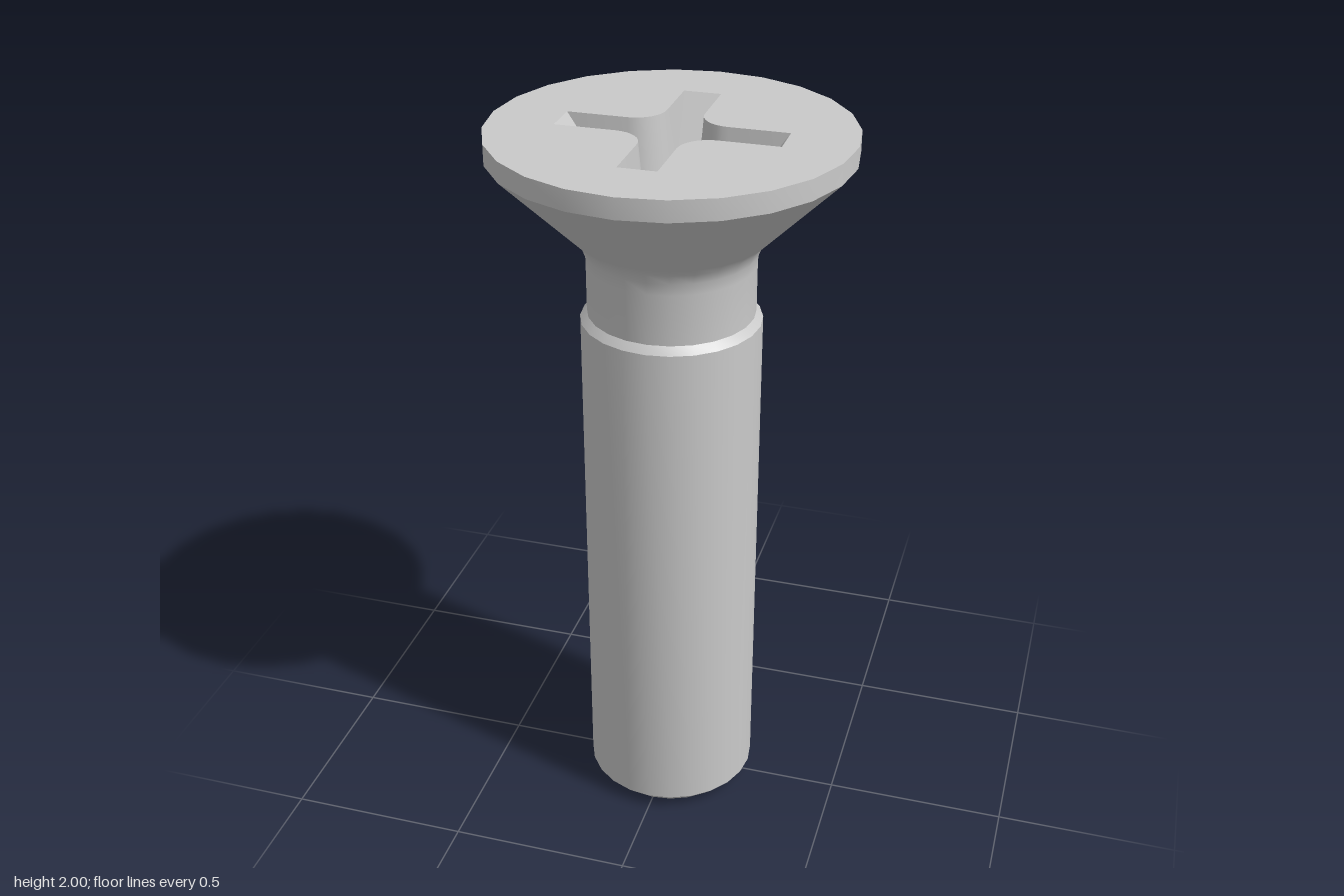
import * as THREE from 'three';
import { mergeGeometries, toCreasedNormals } from 'three/addons/utils/BufferGeometryUtils.js';

const SIDES = 24, HEAD_R = 0.47, TOP = 2, DEPTH = 0.34;
const ARM = 0.29, HALF = 0.05, FILLET = 0.08, DRAFT = 0.03, C = HALF + FILLET;

// Crease at a large scale so that fine detail is not merged
function creased(geometry, angle) {
  geometry.scale(100, 100, 100);
  const g = toCreasedNormals(geometry, angle);
  g.scale(0.01, 0.01, 0.01);
  return g;
}

// One half of an arm wall: rim points and the floor points below them
function wallPoints() {
  const rim = [[ARM, TOP, HALF]], foot = [[ARM, TOP, HALF]];
  for (let i = 0; i <= 4; i++) {
    const a = (i / 4) * Math.PI / 4, s = Math.sin(a), c = Math.cos(a);
    const u = (ARM - C + FILLET * s) / (ARM - HALF - DRAFT * s);
    const r = FILLET + DRAFT * u;
    rim.push([C - FILLET * s, TOP, C - FILLET * c]);
    foot.push([C - r * s, TOP - DEPTH * u, C - r * c]);
  }
  return { rim, foot };
}

// Tapered cross recess: four arms with sloping floors and a small square bottom
function recessGeometry({ rim, foot }) {
  const pos = [];
  const quad = (a, b, c, d) => pos.push(...a, ...b, ...c, ...a, ...c, ...d);
  const flip = ([x, y, z]) => [x, y, -z];
  for (let i = 0; i < rim.length - 1; i++) {
    const j = i + 1;
    quad(rim[i], foot[i], foot[j], rim[j]);
    quad(flip(rim[j]), flip(foot[j]), flip(foot[i]), flip(rim[i]));
    quad(foot[i], flip(foot[i]), flip(foot[j]), foot[j]);
  }
  const arm = new THREE.BufferGeometry();
  arm.setAttribute('position', new THREE.Float32BufferAttribute(pos, 3));
  const parts = [0, 1, 2, 3].map(k => arm.clone().rotateY(k * Math.PI / 2));

  const [q, y] = foot[foot.length - 1];
  const base = new THREE.PlaneGeometry(2 * q, 2 * q).rotateX(-Math.PI / 2).translate(0, y, 0).toNonIndexed();
  base.deleteAttribute('uv');
  base.deleteAttribute('normal');
  return creased(mergeGeometries([...parts, base]), 0.45);
}

// Flat head face with the cross cut out
function faceGeometry({ rim }) {
  const disc = [];
  for (let i = 0; i < SIDES; i++) {
    const a = (i / SIDES) * Math.PI * 2;
    disc.push(new THREE.Vector2(HEAD_R * Math.cos(a), HEAD_R * Math.sin(a)));
  }
  const half = rim.map(p => [p[0], p[2]]);
  const quarter = [...half, ...half.slice(0, -1).reverse().map(([x, z]) => [z, x])];
  const cross = [];
  for (let k = 0; k < 4; k++) {
    const a = k * Math.PI / 2;
    quarter.forEach(([x, z]) => cross.push(new THREE.Vector2(x, z).rotateAround(new THREE.Vector2(), a)));
  }
  const shape = new THREE.Shape(disc);
  shape.holes.push(new THREE.Path(cross));
  return new THREE.ShapeGeometry(shape).rotateX(-Math.PI / 2).translate(0, TOP, 0);
}

function lathe(points) {
  return creased(new THREE.LatheGeometry(points.map(p => new THREE.Vector2(...p)), SIDES), 0.5);
}

export function createModel() {
  const group = new THREE.Group();
  const steel = new THREE.MeshStandardMaterial({ color: 0xcacaca });
  steel.name = 'steel';
  const add = (name, geometry) => {
    const mesh = new THREE.Mesh(geometry, steel);
    mesh.name = name;
    group.add(mesh);
  };

  // Shank with chamfered ends
  add('shank', lathe([[0.2, 0], [0.24, 0.04], [0.24, 1.492], [0.222, 1.512]]));
  add('shankEnd', new THREE.CircleGeometry(0.2, SIDES).rotateX(Math.PI / 2));

  // Neck, blended into the countersunk head and its rim
  add('head', lathe([
    [0.222, 1.512], [0.222, 1.65], [0.226, 1.682], [0.237, 1.71], [0.256, 1.731],
    [HEAD_R, 1.945], [HEAD_R, TOP],
  ]));

  // Driver recess
  const wall = wallPoints();
  add('headFace', faceGeometry(wall));
  add('crossRecess', recessGeometry(wall));
  return group;
}
